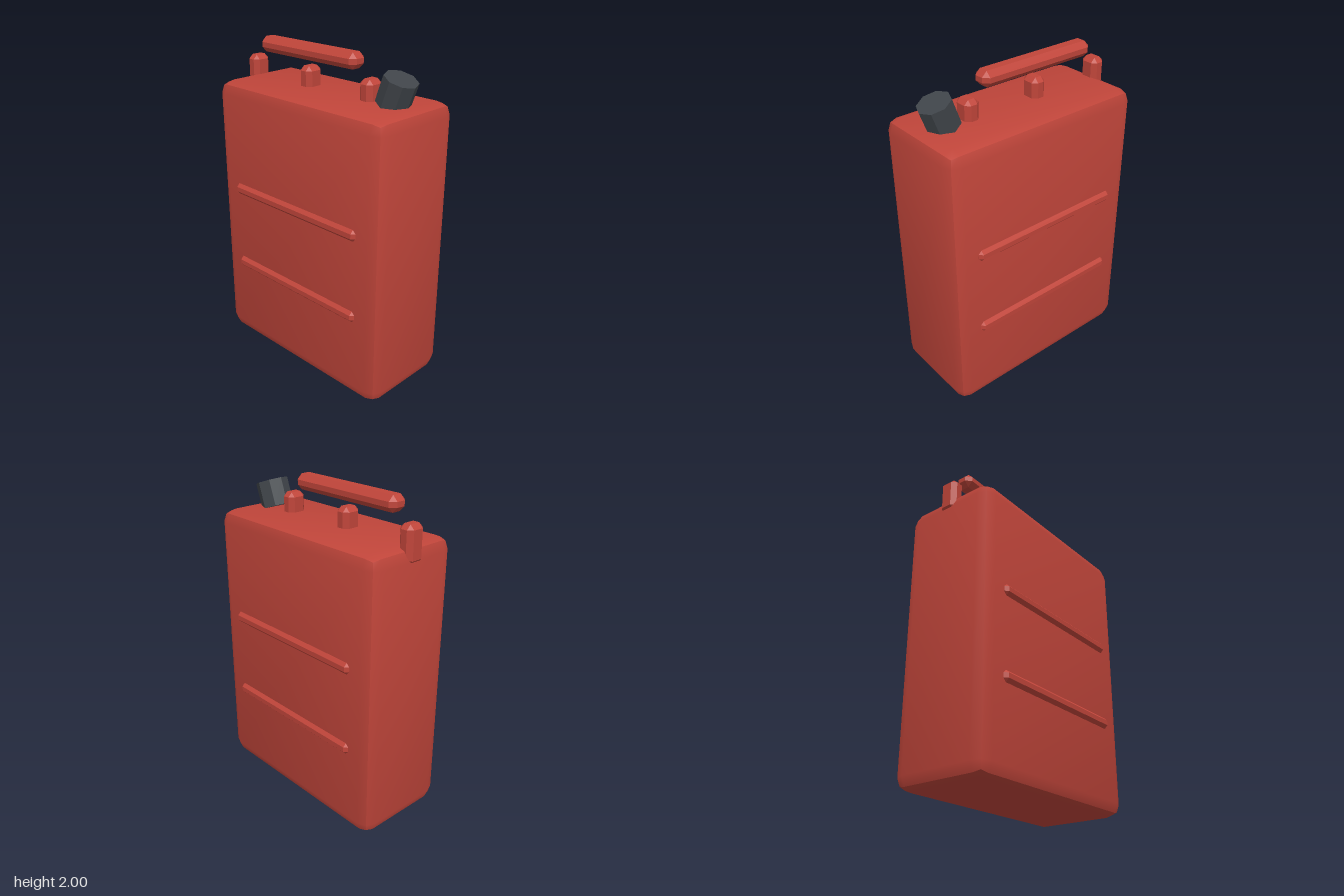
import * as THREE from 'three';
import { ConvexGeometry } from 'three/addons/geometries/ConvexGeometry.js';

// Box with two-step bevels; each face shades smoothly up to a hard mid-bevel edge.
function bevelBox(w, h, d, r) {
  const geo = new THREE.BoxGeometry(2, 2, 2, 3, 3, 3);
  const half = [w / 2, h / 2, d / 2];
  const pos = geo.attributes.position;
  const nor = geo.attributes.normal;
  for (let i = 0; i < pos.count; i++) {
    const c = [pos.getX(i), pos.getY(i), pos.getZ(i)];
    const face = [nor.getX(i), nor.getY(i), nor.getZ(i)];
    const dir = new THREE.Vector3(...c.map((v) => (Math.abs(v) > 0.9 ? Math.sign(v) : 0))).normalize();
    const p = c.map((v, k) => Math.sign(v) * (half[k] - r) + dir.getComponent(k) * r);
    // lean the normals outward toward the bevels
    const n = c.map((v, k) => (face[k] ? face[k] : Math.sign(v) * (Math.abs(v) > 0.9 ? 0.36 : 0.13)));
    pos.setXYZ(i, ...p);
    nor.setXYZ(i, ...new THREE.Vector3(...n).normalize().toArray());
  }
  return geo;
}

// Box with flat 45 degree chamfers on every edge.
function chamferBox(w, h, d, c) {
  const points = [];
  for (const sx of [-1, 1]) for (const sy of [-1, 1]) for (const sz of [-1, 1]) {
    for (let axis = 0; axis < 3; axis++) {
      const cut = [0, 1, 2].map((k) => (k === axis ? 0 : c));
      points.push(new THREE.Vector3(sx * (w / 2 - cut[0]), sy * (h / 2 - cut[1]), sz * (d / 2 - cut[2])));
    }
  }
  return new ConvexGeometry(points);
}

export function createModel() {
  const group = new THREE.Group();
  const red = new THREE.MeshStandardMaterial({ color: 0xc0453a });
  red.name = 'red paint';
  const grey = new THREE.MeshStandardMaterial({ color: 0x40454a });
  grey.name = 'dark grey';

  const add = (name, geometry, material, x, y, z) => {
    const mesh = new THREE.Mesh(geometry, material);
    mesh.name = name;
    mesh.position.set(x, y, z);
    group.add(mesh);
    return mesh;
  };

  // Can body
  add('body', bevelBox(1.346, 1.753, 0.632, 0.08), red, 0.002, 0.8765, 0);

  // Pressed ribs, two on each broad side
  const rib = chamferBox(1.026, 0.07, 0.06, 0.02);
  for (const side of [1, -1]) {
    for (const y of [0.56, 1.08]) {
      add(side > 0 ? 'frontRib' : 'backRib', rib, red, 0.002, y, side * 0.307);
    }
  }

  // Three handle posts and the grip bar
  const post = chamferBox(0.095, 0.22, 0.12, 0.027);
  for (const x of [-0.634, -0.157, 0.32]) add('handlePost', post, red, x, 1.762, 0);
  add('handleBar', chamferBox(0.794, 0.095, 0.12, 0.032), red, -0.157, 1.9525, 0);

  // Tilted eight-sided cap
  const capGeo = new THREE.CylinderGeometry(0.1, 0.1, 0.16, 8).toNonIndexed();
  capGeo.computeVertexNormals();
  const cap = add('cap', capGeo, grey, 0.508, 1.827, 0);
  cap.rotation.z = -0.35;

  return group;
}
